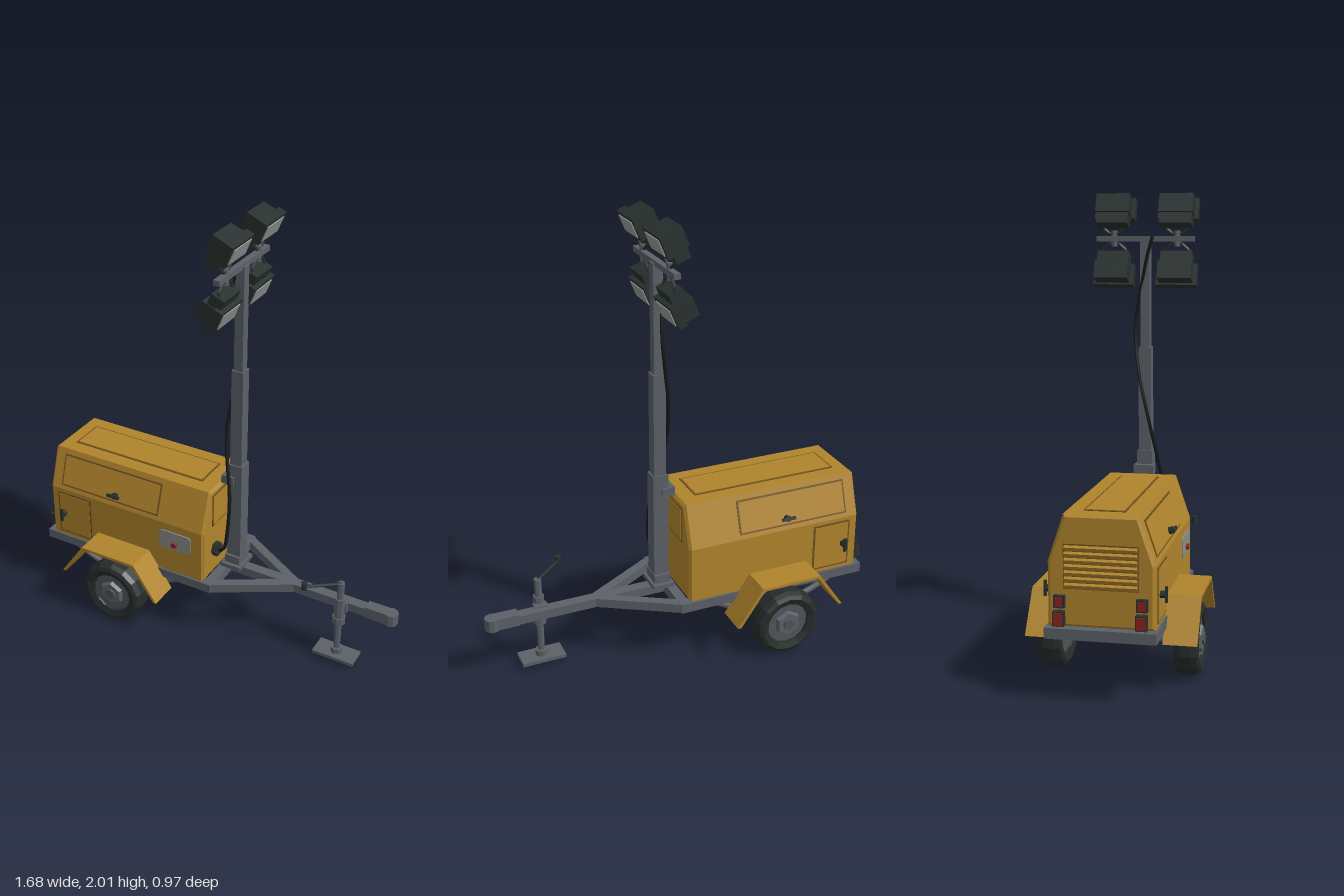
import * as THREE from 'three';

const mat = (name, color) => Object.assign(new THREE.MeshStandardMaterial({ color }), { name });

export function createModel() {
  const yellow = mat('ochre paint', 0xb0842c), seam = mat('dark seam', 0x6e5220);
  const steel = mat('grey steel', 0x5c6168), dark = mat('dark housing', 0x28312f);
  const rubber = mat('tyre rubber', 0x262d2b), rimGrey = mat('rim grey', 0x50555a);
  const glass = mat('lamp glass', 0x999d9b), pale = mat('pale plate', 0x8c8d88);
  const red = mat('red', 0x8c2420), black = mat('cable black', 0x141817);

  const root = new THREE.Group();
  root.name = 'lightTower';
  // trailer frame: x forward to the hitch, z sideways
  const trailer = new THREE.Group();
  trailer.name = 'trailer';
  trailer.rotation.y = 0.41;
  trailer.position.set(-0.038, 0, -0.087);
  root.add(trailer);

  const add = (name, geo, m, x = 0, y = 0, z = 0, parent = trailer) => {
    const o = new THREE.Mesh(geo, m);
    o.name = name;
    o.position.set(x, y, z);
    parent.add(o);
    return o;
  };
  const box = (name, m, sx, sy, sz, x, y, z, parent) =>
    add(name, new THREE.BoxGeometry(sx, sy, sz), m, x, y, z, parent);
  const flat = (g) => { const n = g.toNonIndexed(); n.computeVertexNormals(); return n; };
  const cyl = (name, m, r, h, n, x, y, z, parent, r2 = r) =>
    add(name, flat(new THREE.CylinderGeometry(r2, r, h, n)), m, x, y, z, parent);
  const beam = (name, m, a, b, h, w) => {
    const o = box(name, m, Math.hypot(b[0] - a[0], b[1] - a[1]), h, w, (a[0] + b[0]) / 2, 0.288, (a[1] + b[1]) / 2);
    o.rotation.y = -Math.atan2(b[1] - a[1], b[0] - a[0]);
    return o;
  };
  const tube = (name, m, pts, r, seg, sides, parent, tension = 0.5) =>
    add(name, new THREE.TubeGeometry(new THREE.CatmullRomCurve3(
      pts.map(p => new THREE.Vector3(...p)), false, 'catmullrom', tension), seg, r, sides), m, 0, 0, 0, parent);
  // frame lying on a surface, local +z pointing outwards
  const mount = (x, y, z, yaw, tilt = 0) => {
    const g = new THREE.Group();
    g.rotation.order = 'YXZ';
    g.rotation.set(-tilt, yaw, 0);
    g.position.set(x, y, z);
    trailer.add(g);
    return g;
  };
  const panel = (name, g, w, h) => {
    g.name = name;
    box(name + 'Seam', seam, w, h, 0.006, 0, 0, 0, g);
    box(name + 'Face', yellow, w - 0.016, h - 0.016, 0.01, 0, 0, 0, g);
  };
  const latch = (g, x, y, turn) => {
    const h = new THREE.Group();
    h.name = 'latch';
    h.position.set(x, y, 0);
    h.rotation.z = turn;
    g.add(h);
    cyl('latchBoss', dark, 0.015, 0.03, 8, 0, 0, 0.01, h).rotation.x = Math.PI / 2;
    box('latchLever', dark, 0.065, 0.014, 0.01, 0, 0, 0.03, h);
  };

  // canopy
  const sec = new THREE.Shape([[-0.215, 0.31], [0.215, 0.31], [0.215, 0.57], [0.15, 0.762], [-0.15, 0.762], [-0.215, 0.57]]
    .map(p => new THREE.Vector2(...p)));
  const bodyGeo = new THREE.ExtrudeGeometry(sec, { depth: 0.816, bevelEnabled: true, bevelSegments: 1,
    bevelSize: 0.012, bevelThickness: 0.012, bevelOffset: -0.012 });
  bodyGeo.rotateY(Math.PI / 2);
  add('canopy', bodyGeo, yellow, -0.748, 0, 0);
  panel('roofPanel', mount(-0.345, 0.762, 0, 0, Math.PI / 2), 0.69, 0.17);
  const tilt = Math.atan2(0.065, 0.192);
  for (const s of [1, -1]) {
    const yaw = s > 0 ? 0 : Math.PI;
    const lid = mount(-0.432, 0.663, s * 0.1835, yaw, tilt);
    panel('sideLid', lid, 0.535, 0.155);
    latch(lid, s * 0.035, -0.045, 0);
    const door = mount(-0.625, 0.44, s * 0.215, yaw);
    panel('sideDoor', door, 0.185, 0.225);
    latch(door, -s * 0.06, 0, Math.PI / 2);
  }
  // front panel and rear louvres
  panel('frontPanel', mount(0.08, 0.655, 0, Math.PI / 2), 0.27, 0.165);
  const rear = mount(-0.76, 0, 0, -Math.PI / 2);
  rear.name = 'rearGrille';
  box('grilleBack', seam, 0.3, 0.18, 0.006, 0, 0.555, 0, rear);
  for (let i = 0; i < 7; i++)
    box('louvre', yellow, 0.29, 0.016, 0.018, 0, 0.48 + i * 0.025, 0.004, rear).rotation.x = 0.5;
  for (const s of [1, -1]) {
    box('tailLampHousing', dark, 0.045, 0.06, 0.03, s * 0.165, 0.35, 0.02, rear);
    box('tailLamp', red, 0.035, 0.05, 0.008, s * 0.165, 0.35, 0.037, rear);
    box('markerHousing', dark, 0.045, 0.05, 0.02, s * 0.165, 0.415, 0.01, rear);
    box('marker', red, 0.03, 0.036, 0.008, s * 0.165, 0.415, 0.022, rear);
  }
  // pale side plate with rounded corners
  const ps = new THREE.Shape();
  ps.moveTo(-0.065, -0.047).lineTo(0.065, -0.047).quadraticCurveTo(0.083, -0.047, 0.083, -0.03)
    .lineTo(0.083, 0.03).quadraticCurveTo(0.083, 0.047, 0.065, 0.047).lineTo(-0.065, 0.047)
    .quadraticCurveTo(-0.083, 0.047, -0.083, 0.03).lineTo(-0.083, -0.03).quadraticCurveTo(-0.083, -0.047, -0.065, -0.047);
  add('sidePlate', new THREE.ExtrudeGeometry(ps, { depth: 0.006, bevelEnabled: false, curveSegments: 4 }), pale, -0.07, 0.485, 0.215);
  cyl('redKnob', red, 0.014, 0.014, 8, -0.07, 0.47, 0.226).rotation.x = Math.PI / 2;

  // chassis and drawbar
  for (const s of [1, -1]) {
    box('sideRail', steel, 0.907, 0.044, 0.045, -0.333, 0.288, s * 0.202);
    beam('aFrameBeam', steel, [0.1, s * 0.205], [0.45, 0], 0.042, 0.042);
  }
  for (const x of [-0.765, 0.1]) box('crossRail', steel, 0.045, 0.044, 0.4, x, 0.288, 0);
  beam('drawbar', steel, [0.1, 0], [0.84, 0], 0.042, 0.05);
  box('couplerBody', steel, 0.12, 0.054, 0.056, 0.86, 0.292, 0);
  cyl('couplerHead', steel, 0.034, 0.056, 10, 0.915, 0.29, 0);

  // axle, springs, wheels and mudguards
  cyl('axle', steel, 0.016, 0.54, 8, -0.355, 0.155, 0).rotation.x = Math.PI / 2;
  const tyre = flat(new THREE.LatheGeometry([[0.1, -0.045], [0.13, -0.055], [0.147, -0.046], [0.156, -0.022],
    [0.156, 0.022], [0.147, 0.046], [0.13, 0.055], [0.1, 0.045], [0.095, 0], [0.1, -0.045]]
    .map(p => new THREE.Vector2(...p)), 14).rotateX(Math.PI / 2));
  const guard = new THREE.Shape([[-0.262, 0.21], [-0.142, 0.385], [0.142, 0.385], [0.262, 0.21],
    [0.246, 0.21], [0.134, 0.371], [-0.134, 0.371], [-0.246, 0.21]].map(p => new THREE.Vector2(...p)));
  for (const s of [1, -1]) {
    const spring = tube('leafSpring', steel, [[-0.67, 0.27, s * 0.19], [-0.56, 0.215, s * 0.19], [-0.44, 0.178, s * 0.19],
      [-0.355, 0.17, s * 0.19], [-0.27, 0.178, s * 0.19], [-0.15, 0.215, s * 0.19], [-0.04, 0.27, s * 0.19]], 0.014, 16, 6);
    spring.name = 'leafSpring';
    box('springClamp', steel, 0.06, 0.05, 0.05, -0.355, 0.165, s * 0.19);
    const wheel = new THREE.Group();
    wheel.name = 'wheel';
    wheel.position.set(-0.355, 0.156, s * 0.288);
    trailer.add(wheel);
    add('tyre', tyre, rubber, 0, 0, 0, wheel);
    cyl('rim', rimGrey, 0.102, 0.07, 14, 0, 0, 0, wheel).rotation.x = Math.PI / 2;
    const cap = cyl('hubCap', steel, 0.065, 0.02, 6, 0, 0, s * 0.042, wheel, 0.055);
    cap.rotation.x = s * Math.PI / 2;
    cyl('hub', rimGrey, 0.028, 0.02, 8, 0, 0, s * 0.05, wheel).rotation.x = Math.PI / 2;
    add('mudguard', new THREE.ExtrudeGeometry(guard, { depth: 0.14, bevelEnabled: false }), yellow,
      -0.355, 0, s > 0 ? 0.215 : -0.355);
  }

  // jack stand with crank
  const jx = 0.69, jz = 0.05;
  box('jackFoot', steel, 0.2, 0.016, 0.1, jx, 0.03, jz);
  cyl('jackSocket', steel, 0.028, 0.03, 8, jx, 0.05, jz);
  cyl('jackInnerTube', steel, 0.016, 0.2, 8, jx, 0.14, jz);
  cyl('jackOuterTube', steel, 0.025, 0.14, 8, jx, 0.275, jz);
  cyl('jackCollar', steel, 0.031, 0.035, 8, jx, 0.225, jz);
  cyl('jackNeck', steel, 0.017, 0.09, 8, jx, 0.385, jz);
  box('jackBracket', steel, 0.06, 0.05, 0.04, jx, 0.29, 0.025);
  tube('crank', dark, [[jx, 0.425, jz], [0.65, 0.427, 0.083], [0.57, 0.432, 0.15]], 0.008, 4, 6);
  cyl('crankKnob', dark, 0.014, 0.035, 8, 0.56, 0.438, 0.16);

  // telescopic mast
  const mx = 0.138;
  box('mastFoot', steel, 0.1, 0.02, 0.13, mx, 0.32, 0);
  box('mastGussets', steel, 0.075, 0.05, 0.095, mx, 0.345, 0);
  box('mastLower', steel, 0.07, 0.55, 0.07, mx, 0.585, 0);
  box('mastBracket', steel, 0.06, 0.04, 0.09, 0.105, 0.78, 0);
  box('mastMiddle', steel, 0.056, 0.5, 0.056, mx, 1.08, 0);
  box('mastUpper', steel, 0.042, 0.5, 0.042, mx, 1.56, 0);
  box('crossBar', steel, 0.028, 0.024, 0.44, mx, 1.81, 0);

  // floodlights, two above and two below the bar
  for (const up of [1, -1]) for (const s of [1, -1]) {
    const z = s * 0.142, y = (d) => 1.81 + up * d;
    cyl('yokePivot', steel, 0.014, 0.05, 8, mx, y(0.01), z);
    tube('yoke', dark, [[mx, y(0.078), z - 0.055], [mx, y(0.052), z - 0.055], [mx, y(0.022), z - 0.02], [mx, y(0.022), z + 0.02],
      [mx, y(0.052), z + 0.055], [mx, y(0.078), z + 0.055]], 0.007, 15, 5, trailer, 0.1);
    const lamp = new THREE.Group();
    lamp.name = 'floodlight';
    lamp.position.set(up > 0 ? 0.15 : 0.105, up > 0 ? 1.948 : 1.66, z);
    lamp.rotation.z = -0.4;
    trailer.add(lamp);
    box('lampHousing', dark, 0.075, 0.085, 0.15, -0.015, 0, 0, lamp);
    box('lampFrame', dark, 0.04, 0.1, 0.18, 0.032, 0, 0, lamp);
    box('lampGlass', glass, 0.006, 0.072, 0.142, 0.053, 0, 0, lamp);
    box('lampGearBox', dark, 0.065, 0.055, 0.14, up > 0 ? -0.01 : 0, up * -0.065, 0, lamp);
  }

  // power socket and cable running up the mast
  cyl('powerSocket', dark, 0.035, 0.03, 6, 0.09, 0.44, 0.112).rotation.z = Math.PI / 2;
  tube('cable', black, [[0.09, 0.44, -0.02], [0.132, 0.455, -0.03], [0.138, 0.56, -0.045], [0.118, 0.72, -0.07],
    [0.068, 0.92, -0.09], [0.046, 1.05, -0.11], [0.042, 1.2, -0.145], [0.055, 1.37, -0.175], [0.065, 1.5, -0.17],
    [0.07, 1.7, -0.13], [0.08, 1.82, -0.1]], 0.008, 48, 6, root);
  return root;
}
